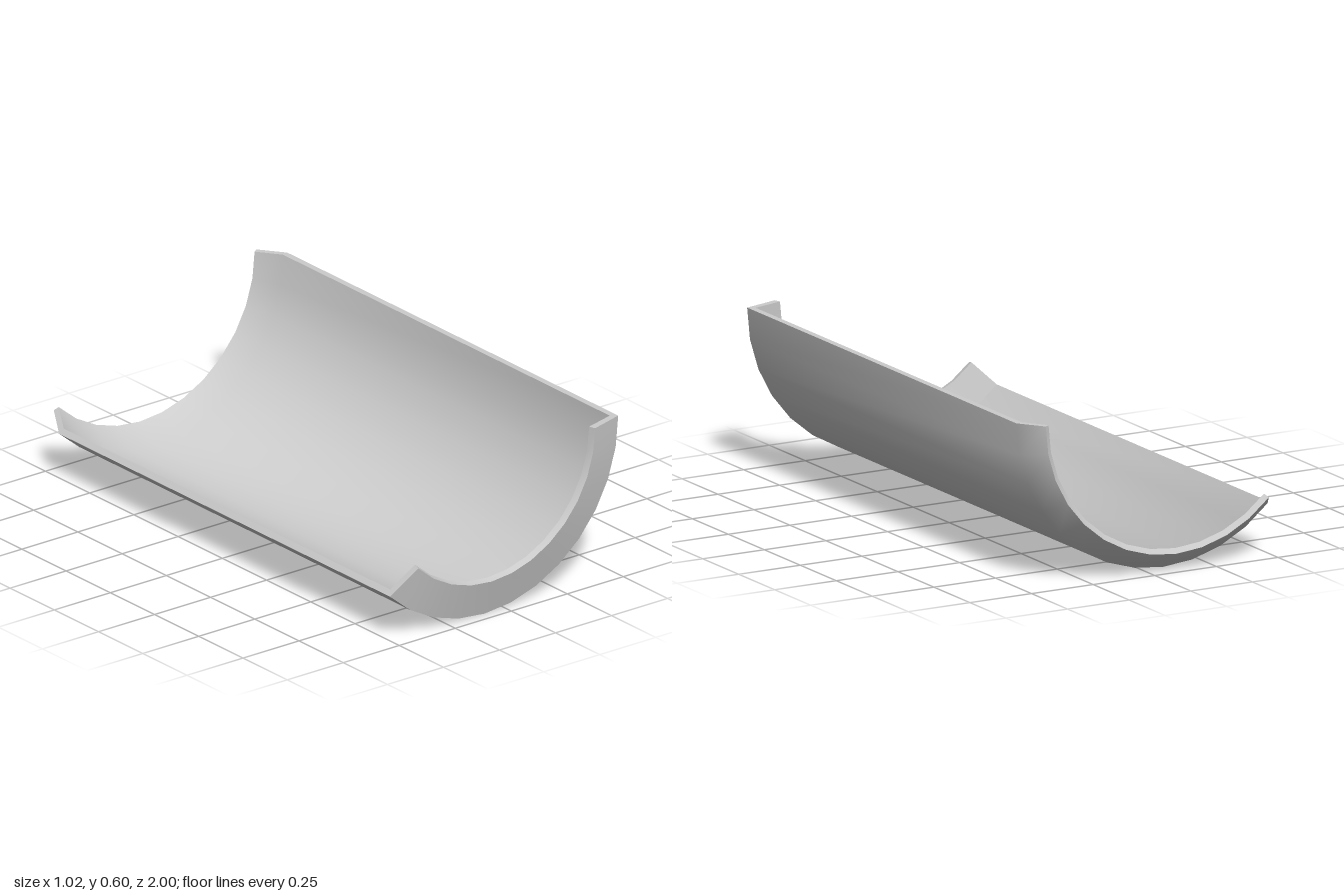
import * as THREE from 'three';
import { toCreasedNormals } from 'three/addons/utils/BufferGeometryUtils.js';

export function createModel() {
  const group = new THREE.Group();
  group.name = 'troughShell';
  const material = new THREE.MeshStandardMaterial({ color: 0xcccccc });
  const capMaterial = new THREE.MeshStandardMaterial({ color: 0xcccccc, side: THREE.DoubleSide });

  // Wall section as (radius, z): outside from back to front, then inside from front to back
  const section = [
    [0.53, -1], [0.597, -0.91], [0.597, 0.96], [0.462, 1],
    [0.455, 0.975], [0.573, 0.942], [0.573, -0.905], [0.512, -0.988],
  ].map(([r, z]) => new THREE.Vector2(r, z));

  // Angles run from straight down towards +x
  const start = -Math.PI / 4;
  const end = Math.PI / 2;

  function addPart(geometry, name, mat) {
    geometry.rotateX(Math.PI / 2);
    geometry.translate(-0.088, 0.6, 0);
    const mesh = new THREE.Mesh(geometry, mat);
    mesh.name = name;
    group.add(mesh);
  }

  // Curved wall with the front lip and the chamfered back rim
  const wall = new THREE.LatheGeometry([...section, section[0].clone()], 12, start, end - start);
  addPart(toCreasedNormals(wall, Math.PI / 4), 'curvedWall', material);

  // Flat long edges closing the wall
  for (const [name, angle] of [['rightEdge', start], ['leftEdge', end]]) {
    const cap = new THREE.ShapeGeometry(new THREE.Shape(section));
    cap.rotateY(angle - Math.PI / 2);
    addPart(cap, name, capMaterial);
  }
  return group;
}
